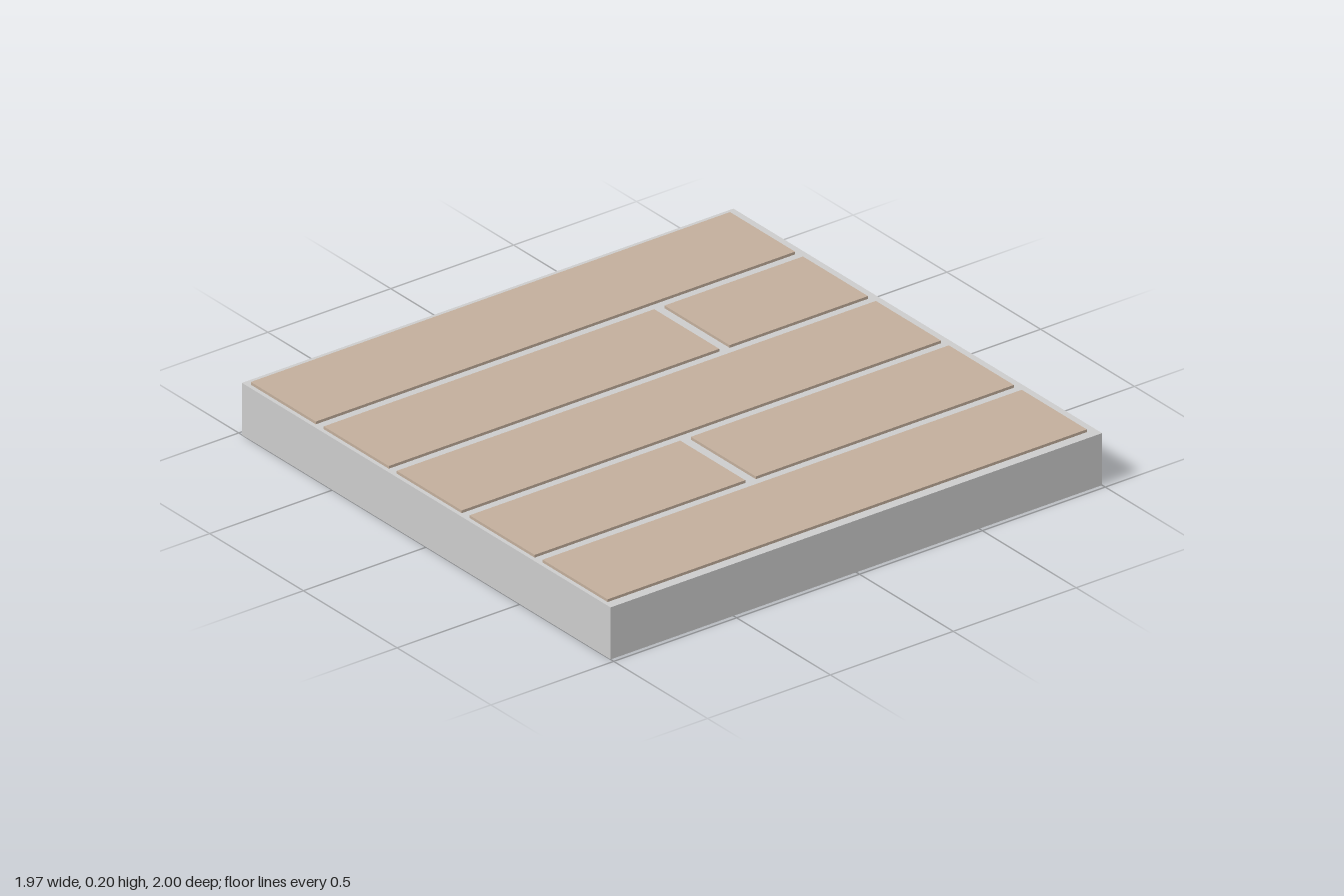
import * as THREE from 'three';

export function createModel() {
  const model = new THREE.Group();
  const slabMaterial = new THREE.MeshStandardMaterial({ color: 0xcccccc });
  const plankMaterial = new THREE.MeshStandardMaterial({ color: 0xc2ae9c });

  const slabTop = 0.19, plankTop = 0.2, sink = 0.005;

  // Slab under the floor
  const slab = new THREE.Mesh(new THREE.BoxGeometry(1.966, slabTop, 2), slabMaterial);
  slab.name = 'slab';
  slab.position.y = slabTop / 2;
  model.add(slab);

  // Five columns of planks; each column lists its [back, front] spans along z
  const back = -0.965, front = 0.985;
  const columns = [
    [[back, front]],
    [[back, -0.402], [-0.36, front]],
    [[back, front]],
    [[back, 0.085], [0.128, front]],
    [[back, front]],
  ];
  const planks = new THREE.Group();
  planks.name = 'planks';
  const height = plankTop - slabTop + sink;
  columns.forEach((spans, i) => {
    for (const [z0, z1] of spans) {
      const plank = new THREE.Mesh(new THREE.BoxGeometry(0.347, height, z1 - z0), plankMaterial);
      plank.name = 'plank';
      plank.position.set(-0.004 + (i - 2) * 0.389, plankTop - height / 2, (z0 + z1) / 2);
      planks.add(plank);
    }
  });
  model.add(planks);

  return model;
}
